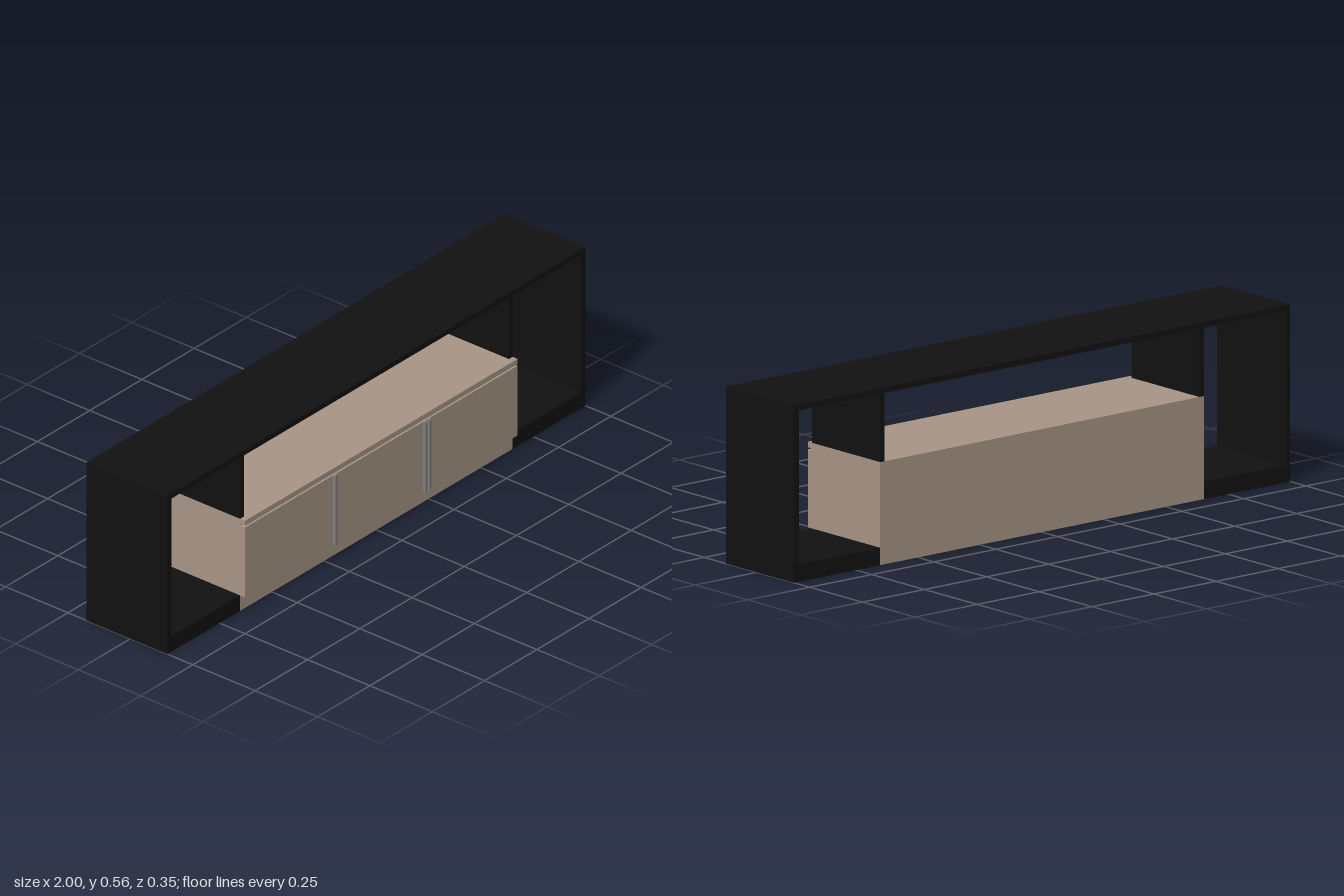
import * as THREE from 'three';

export function createModel() {
  const model = new THREE.Group();
  const black = new THREE.MeshStandardMaterial({ color: 0x111111 });
  const wood = new THREE.MeshStandardMaterial({ color: 0xa89686 });
  const metal = new THREE.MeshStandardMaterial({ color: 0x808080 });
  const back = -0.175, front = 0.148, face = 0.168;

  // Box given by its lower and upper limits on each axis
  function box(name, material, x0, x1, y0, y1, z0 = back, z1 = front) {
    const mesh = new THREE.Mesh(new THREE.BoxGeometry(x1 - x0, y1 - y0, z1 - z0), material);
    mesh.position.set((x0 + x1) / 2, (y0 + y1) / 2, (z0 + z1) / 2);
    mesh.name = name;
    model.add(mesh);
  }

  // Outer frame
  box('frameTop', black, -1, 1, 0.542, 0.56);
  for (const [side, s] of [['right', -1], ['left', 1]]) {
    const panel = (name, a, b, y0, y1) =>
      box(side + name, black, Math.min(s * a, s * b), Math.max(s * a, s * b), y0, y1);
    panel('FrameBase', 0.652, 1, 0, 0.055);
    panel('FrameSide', 0.98, 1, 0.055, 0.542);
    panel('Divider', 0.634, 0.652, 0.326, 0.542);
  }

  // Central cabinet with overhanging top board
  box('cabinetBody', wood, -0.652, 0.652, 0, 0.308);
  box('cabinetTop', wood, -0.652, 0.652, 0.308, 0.326, back, face);

  // Three doors with narrow gaps
  const seams = [-0.652, -0.217, 0.215, 0.652];
  for (let i = 0; i < 3; i++) {
    box('door' + (i + 1), wood, seams[i] + (i ? 0.002 : 0), seams[i + 1] - (i < 2 ? 0.002 : 0),
      0.055, 0.302, front, face);
  }

  // Full-height strip handles
  [-0.226, 0.205, 0.225].forEach((x, i) =>
    box('handle' + (i + 1), metal, x - 0.005, x + 0.005, 0.055, 0.302, face, 0.177));

  return model;
}
